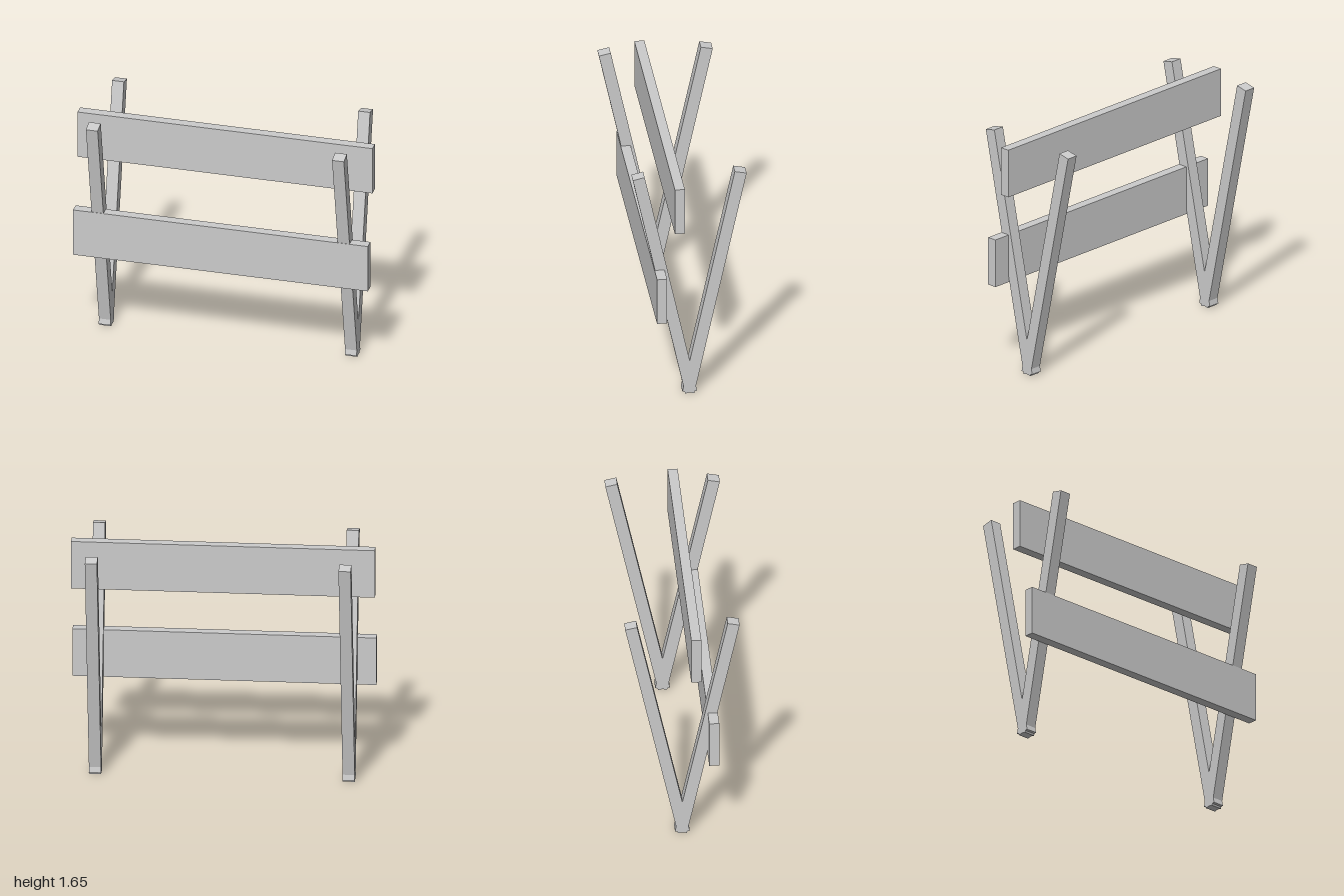
import * as THREE from 'three';

const TILT = THREE.MathUtils.degToRad(12);
const LEG = { width: 0.08, length: 1.669, x: 0.835, y: 0.8245, z: 0.164 };
const BOARD = { length: 2, height: 0.333, thickness: 0.066 };

export function createModel() {
  const model = new THREE.Group();
  model.name = 'barricade';
  const material = new THREE.MeshStandardMaterial({ color: 0xcccccc, flatShading: true });

  const addBox = (name, size, position, tilt = 0) => {
    const mesh = new THREE.Mesh(new THREE.BoxGeometry(...size), material);
    mesh.name = name;
    mesh.position.set(...position);
    mesh.rotation.x = tilt;
    model.add(mesh);
  };

  // V-shaped pairs of legs, crossing at the foot
  for (const [side, sx] of [['left', 1], ['right', -1]]) {
    for (const [end, sz] of [['Front', 1], ['Back', -1]]) {
      addBox(`${side}${end}Leg`, [LEG.width, LEG.length, LEG.width],
        [sx * LEG.x, LEG.y, sz * LEG.z], sz * TILT);
    }
  }

  // Horizontal boards
  const boardSize = [BOARD.length, BOARD.height, BOARD.thickness];
  addBox('upperBoard', boardSize, [0, 1.445, 0.082]);
  addBox('lowerBoard', boardSize, [0, 0.777, 0.2]);

  return model;
}
